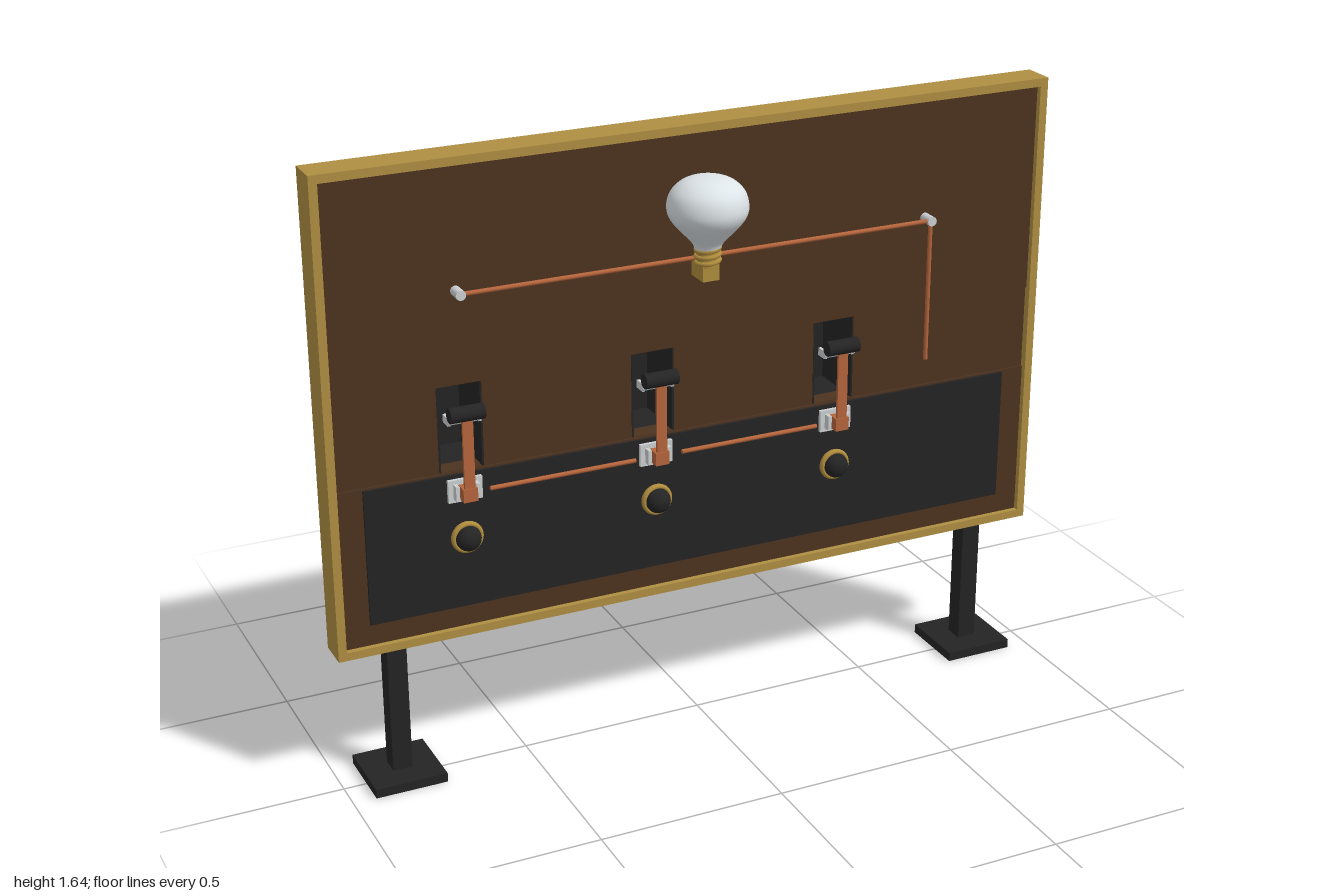
import * as THREE from 'three';

const mat = (name, color, side = THREE.FrontSide) => {
  const m = new THREE.MeshStandardMaterial({ color, side });
  m.name = name;
  return m;
};

export function createModel() {
  const gold = mat('gold frame', 0xb08f42);
  const wood = mat('dark wood', 0x4d3320);
  const black = mat('black', 0x242424);
  const copper = mat('copper', 0xb5653c);
  const brass = mat('brass', 0xb08d3c);
  const steel = mat('steel', 0xcdd0d2);
  const glass = mat('frosted glass', 0xdfe6e9, THREE.DoubleSide);

  const root = new THREE.Group();
  root.name = 'switchboard';

  const add = (parent, name, geo, m, x = 0, y = 0, z = 0) => {
    const mesh = new THREE.Mesh(geo, m);
    mesh.name = name;
    mesh.position.set(x, y, z);
    parent.add(mesh);
    return mesh;
  };
  // box given by its lower and upper corners
  const box = (parent, name, m, x0, x1, y0, y1, z0, z1) =>
    add(parent, name, new THREE.BoxGeometry(x1 - x0, y1 - y0, z1 - z0), m,
      (x0 + x1) / 2, (y0 + y1) / 2, (z0 + z1) / 2);
  // cylinder along a chosen axis
  const rod = (parent, name, m, r, len, axis, x, y, z, seg = 16) => {
    const g = new THREE.CylinderGeometry(r, r, len, seg);
    if (axis === 'x') g.rotateZ(Math.PI / 2);
    if (axis === 'z') g.rotateX(Math.PI / 2);
    return add(parent, name, g, m, x, y, z);
  };
  const rect = (path, x0, x1, y0, y1) => {
    path.moveTo(x0, y0);
    path.lineTo(x1, y0);
    path.lineTo(x1, y1);
    path.lineTo(x0, y1);
    path.closePath();
    return path;
  };
  // extruded rectangle with rectangular holes
  const sheet = (name, m, outer, holes, z0, z1) => {
    const s = rect(new THREE.Shape(), ...outer);
    for (const h of holes) s.holes.push(rect(new THREE.Path(), ...h));
    return add(root, name,
      new THREE.ExtrudeGeometry(s, { depth: z1 - z0, bevelEnabled: false }), m, 0, 0, z0);
  };

  const stations = [-0.65, -0.13, 0.39];

  // surrounding frame and three boards
  sheet('frame', gold, [-1, 1, 0.38, 1.64], [[-0.978, 0.978, 0.402, 1.618]], -0.06, 0.03);
  box(root, 'upperBoard', wood, -0.978, 0.978, 1.06, 1.618, -0.045, 0.015);
  box(root, 'lowerBoard', wood, -0.978, 0.978, 0.402, 0.83, -0.045, 0.015);
  sheet('slottedBoard', wood, [-0.978, 0.978, 0.83, 1.06],
    stations.map((x) => [x - 0.058, x + 0.058, 0.832, 1.058]), -0.04, 0.01);
  box(root, 'controlPanel', black, -0.91, 0.91, 0.46, 0.825, 0.01, 0.022);

  // legs with flat feet
  for (const s of [-1, 1]) {
    const leg = new THREE.Group();
    leg.name = s > 0 ? 'leftLeg' : 'rightLeg';
    leg.position.set(s * 0.843, 0, -0.016);
    root.add(leg);
    box(leg, 'post', black, -0.026, 0.026, 0.02, 0.385, -0.026, 0.026);
    box(leg, 'foot', black, -0.096, 0.096, 0, 0.025, -0.096, 0.096);
  }

  // each station: housing behind the board, knife switch and push button
  for (const x of stations) {
    const g = new THREE.Group();
    g.name = 'switchStation';
    g.position.x = x;
    root.add(g);

    box(g, 'housingBack', black, -0.07, 0.07, 0.82, 1.07, -0.165, -0.153);
    for (const s of [-1, 1])
      box(g, 'housingSide', black, s * 0.064 - 0.006, s * 0.064 + 0.006, 0.82, 1.07, -0.153, -0.04);
    box(g, 'housingTop', black, -0.058, 0.058, 1.058, 1.07, -0.153, -0.04);
    box(g, 'housingBottom', black, -0.058, 0.058, 0.82, 0.832, -0.153, -0.04);
    // dark lining of the slot
    for (const s of [-1, 1])
      box(g, 'slotLining', black, s * 0.0565 - 0.0025, s * 0.0565 + 0.0025, 0.832, 1.058, -0.04, 0.011);

    // hinge bracket
    box(g, 'bracketPlate', steel, -0.045, 0.045, 0.755, 0.815, 0.022, 0.032);
    for (const s of [-1, 1])
      box(g, 'bracketCheek', steel, s * 0.027 - 0.005, s * 0.027 + 0.005, 0.765, 0.805, 0.032, 0.052);
    box(g, 'hinge', copper, -0.019, 0.019, 0.767, 0.802, 0.032, 0.07);

    // blade, contact bar and handle
    box(g, 'blade', copper, -0.014, 0.014, 0.77, 0.99, 0.059, 0.067);
    rod(g, 'contactBar', steel, 0.008, 0.088, 'x', 0, 0.977, 0.042);
    for (const s of [-1, 1])
      box(g, 'contactClip', steel, s * 0.04 - 0.004, s * 0.04 + 0.004, 0.967, 0.988, 0.01, 0.044);
    rod(g, 'handle', black, 0.02, 0.09, 'x', 0, 1.0, 0.058, 24);

    // push button
    const ring = add(g, 'buttonRing', new THREE.TorusGeometry(0.036, 0.007, 12, 32), brass, 0, 0.655, 0.031);
    ring.scale.z = 1.2;
    rod(g, 'buttonCollar', black, 0.033, 0.02, 'z', 0, 0.655, 0.031, 32);
    const dome = add(g, 'buttonDome', new THREE.SphereGeometry(0.033, 28, 16), black, 0, 0.655, 0.04);
    dome.scale.z = 0.9;
  }

  // wiring
  const wireR = 0.006;
  rod(root, 'upperWire', copper, wireR, 1.3, 'x', 0, 1.303, 0.046, 10);
  rod(root, 'dropWire', copper, wireR, 0.385, 'y', 0.65, 1.11, 0.046, 10);
  for (const [a, b] of [[-0.59, -0.195], [-0.065, 0.325]])
    rod(root, 'lowerWire', copper, wireR, b - a, 'x', (a + b) / 2, 0.783, 0.046, 10);
  for (const x of [-0.65, 0.65])
    rod(root, 'terminal', steel, 0.013, 0.044, 'z', x, 1.303, 0.034, 16);

  // bulb with threaded cap and holder
  const bulb = new THREE.Group();
  bulb.name = 'bulb';
  bulb.position.z = 0.061;
  root.add(bulb);
  const outline = new THREE.SplineCurve([
    [0.032, 1.325], [0.04, 1.345], [0.067, 1.375], [0.094, 1.407], [0.103, 1.437],
    [0.094, 1.474], [0.068, 1.5], [0.035, 1.512], [0, 1.515],
  ].map(([r, y]) => new THREE.Vector2(r, y)));
  const points = outline.getPoints(32).map((p) => new THREE.Vector2(Math.max(p.x, 0), p.y));
  add(bulb, 'glassBulb', new THREE.LatheGeometry(points, 40), glass);
  rod(bulb, 'cap', brass, 0.029, 0.05, 'y', 0, 1.31, 0, 24);
  for (let i = 0; i < 3; i++) {
    const thread = add(bulb, 'thread', new THREE.TorusGeometry(0.03, 0.006, 8, 28), brass, 0, 1.297 + i * 0.016, 0);
    thread.rotation.set(Math.PI / 2, 0.12, 0);
  }
  box(bulb, 'holder', brass, -0.023, 0.023, 1.248, 1.29, -0.048, 0.021);

  return root;
}
